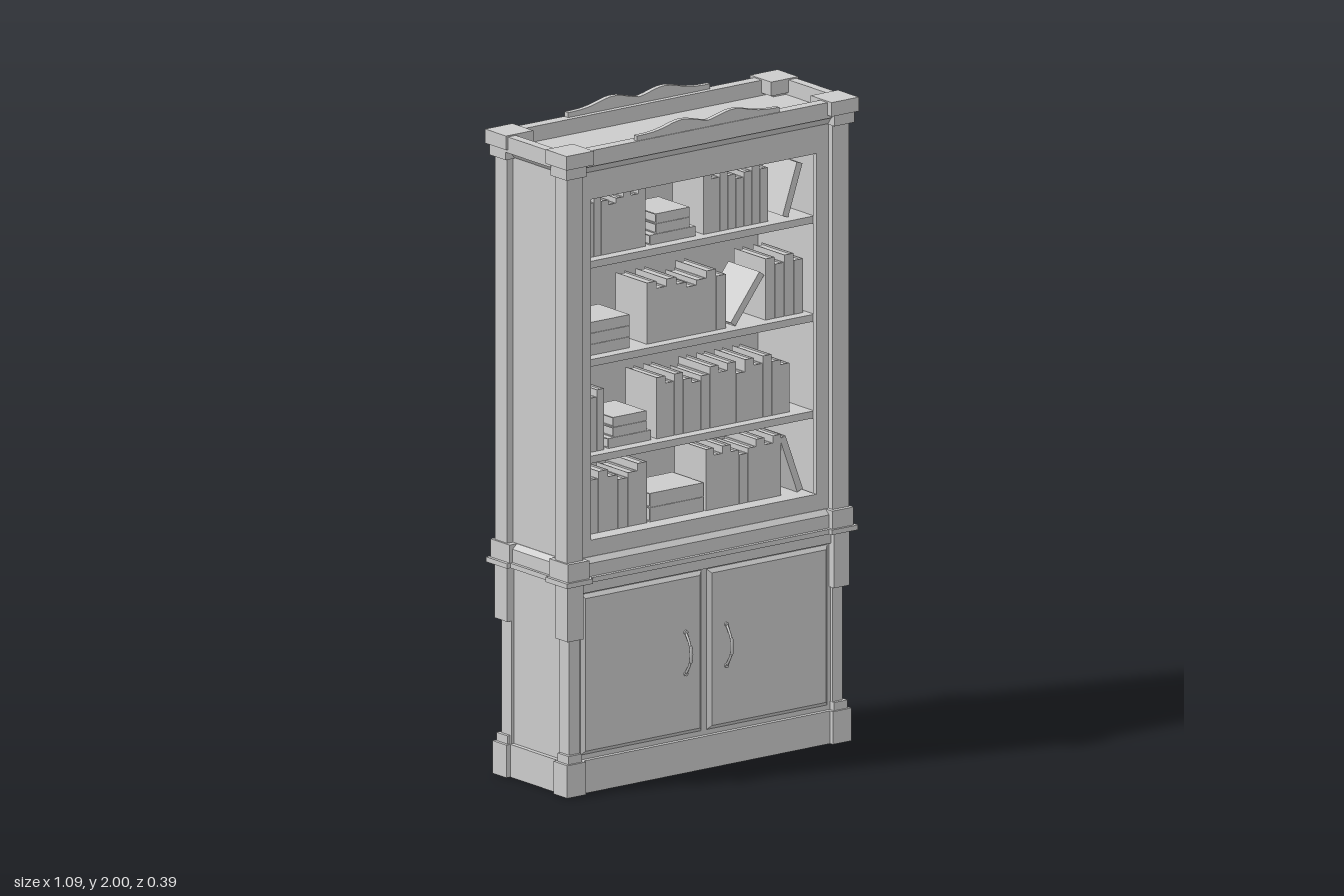
import * as THREE from 'three';

const material = new THREE.MeshStandardMaterial({ color: 0xcccccc });

function add(parent, name, geometry) {
  const mesh = new THREE.Mesh(geometry, material);
  mesh.name = name;
  parent.add(mesh);
  return mesh;
}

// Box given by its limits on each axis
function box(parent, name, x0, x1, y0, y1, z0, z1) {
  const mesh = add(parent, name, new THREE.BoxGeometry(x1 - x0, y1 - y0, z1 - z0));
  mesh.position.set((x0 + x1) / 2, (y0 + y1) / 2, (z0 + z1) / 2);
}

// The same box on all four corners of the cabinet
function corners(parent, name, x0, x1, y0, y1, z0, z1) {
  for (const s of [-1, 1]) for (const t of [-1, 1]) {
    box(parent, name, s > 0 ? x0 : -x1, s > 0 ? x1 : -x0, y0, y1, t > 0 ? z0 : -z1, t > 0 ? z1 : -z0);
  }
}

// Rectangular frustum, used for sloped mouldings and bevelled doors
function frustum(parent, name, w0, d0, w1, d1, h) {
  const g = new THREE.BoxGeometry(1, h, 1).toNonIndexed();
  const p = g.attributes.position;
  for (let i = 0; i < p.count; i++) {
    const top = p.getY(i) > 0;
    p.setX(i, p.getX(i) * (top ? w1 : w0));
    p.setZ(i, p.getZ(i) * (top ? d1 : d0));
  }
  g.computeVertexNormals();
  return add(parent, name, g);
}

// A book with a wrapped cover and an inset page block, spine towards +z
function book(parent, w, h) {
  const g = new THREE.Group();
  g.name = 'book';
  const c = 0.003, d = 0.15;
  box(g, 'leftBoard', -w / 2, -w / 2 + c, 0, h, -d / 2, d / 2);
  box(g, 'rightBoard', w / 2 - c, w / 2, 0, h, -d / 2, d / 2);
  box(g, 'spine', -w / 2 + c, w / 2 - c, 0, h, d / 2 - c, d / 2);
  box(g, 'pages', -w / 2 + c, w / 2 - c, 0.003, h - 0.005, -d / 2 + 0.005, d / 2 - c);
  parent.add(g);
  return g;
}

const bookZ = 0.025;

// Upright books from x0 to x1; the height alternates between common formats
function bookRow(parent, y, x0, x1, count) {
  const w = (x1 - x0) / count;
  for (let i = 0; i < count; i++) {
    const h = i % 5 === 4 ? 0.15 : i % 2 ? 0.165 : 0.187;
    book(parent, w - 0.001, h).position.set(x0 + w * (i + 0.5), y, bookZ);
  }
}

// Lying books, the upper ones shorter by the inset at both ends
function bookStack(parent, y, x0, x1, count, thick, inset) {
  for (let i = 0; i < count; i++) {
    const e = i ? inset : 0;
    const b = book(parent, thick - 0.001, x1 - x0 - 2 * e);
    b.rotation.z = -Math.PI / 2;
    b.position.set(x0 + e, y + (i + 0.5) * thick, bookZ);
  }
}

// A book leaning over by the given angle
function leaningBook(parent, y, x, tilt, length) {
  const w = 0.022;
  const b = book(parent, w, length);
  b.rotation.z = tilt;
  b.position.set(x, y + Math.abs(Math.sin(tilt)) * w / 2, bookZ);
}

function books(parent) {
  // Top shelf
  bookRow(parent, 1.61, -0.425, -0.175, 9);
  bookStack(parent, 1.61, -0.16, 0.01, 3, 0.031, 0.022);
  bookRow(parent, 1.61, 0.04, 0.28, 8);
  leaningBook(parent, 1.61, 0.345, -0.33, 0.165);
  // Third shelf
  bookStack(parent, 1.31, -0.415, -0.235, 3, 0.034, 0);
  bookRow(parent, 1.31, -0.172, 0.125, 8);
  leaningBook(parent, 1.31, 0.15, -0.66, 0.175);
  bookRow(parent, 1.31, 0.27, 0.412, 4);
  // Second shelf
  bookRow(parent, 1.015, -0.415, -0.33, 3);
  bookStack(parent, 1.015, -0.315, -0.155, 3, 0.031, 0.018);
  bookRow(parent, 1.015, -0.135, 0.36, 15);
  // Bottom of the case
  bookRow(parent, 0.765, -0.425, -0.17, 7);
  bookStack(parent, 0.765, -0.16, 0.04, 2, 0.044, 0);
  bookRow(parent, 0.765, 0.048, 0.33, 9);
  leaningBook(parent, 0.765, 0.4, 0.36, 0.185);
}

// Door with a bevelled rim and a curved spindle handle
function door(parent, s) {
  const g = new THREE.Group();
  g.name = s > 0 ? 'leftDoor' : 'rightDoor';
  const slab = frustum(g, 'doorSlab', 0.45, 0.49, 0.426, 0.466, 0.01);
  slab.rotation.x = Math.PI / 2;
  slab.position.set(s * 0.235, 0.36, 0.158);
  const x = s * 0.076;
  const path = new THREE.QuadraticBezierCurve3(
    new THREE.Vector3(x, 0.302, 0.163), new THREE.Vector3(x, 0.365, 0.217), new THREE.Vector3(x, 0.428, 0.163));
  add(g, 'handle', new THREE.TubeGeometry(path, 20, 0.004, 8));
  const grip = add(g, 'handleGrip', new THREE.SphereGeometry(1, 12, 8));
  grip.scale.set(0.007, 0.03, 0.005);
  grip.position.set(x, 0.365, 0.19);
  for (const y of [0.302, 0.428]) {
    const rose = add(g, 'handleRose', new THREE.CylinderGeometry(0.007, 0.007, 0.006, 12));
    rose.rotation.x = Math.PI / 2;
    rose.position.set(x, y, 0.165);
  }
  parent.add(g);
}

// Wavy crest standing on the cornice, with two humps and a dip between
function crest(parent, z) {
  const shape = new THREE.Shape();
  shape.moveTo(-0.265, 1.96);
  for (let i = 0; i <= 48; i++) {
    const x = -0.265 + 0.53 * i / 48;
    const y = 1.977 + 0.023 * Math.exp(-(((Math.abs(x) - 0.095) / 0.075) ** 2));
    shape.lineTo(x, y);
  }
  shape.lineTo(0.265, 1.96);
  add(parent, 'crest', new THREE.ExtrudeGeometry(shape, { depth: 0.016, bevelEnabled: false }))
    .position.z = z - 0.008;
}

export function createModel() {
  const model = new THREE.Group();
  model.name = 'bookcase';

  // Base plinth and lower cabinet
  box(model, 'plinth', -0.515, 0.515, 0, 0.1, -0.167, 0.167);
  corners(model, 'plinthBlock', 0.46, 0.53, 0, 0.1, 0.113, 0.18);
  corners(model, 'plinthStep', 0.47, 0.52, 0.1, 0.125, 0.12, 0.173);
  box(model, 'lowerCabinet', -0.5, 0.5, 0.1, 0.645, -0.16, 0.153);
  corners(model, 'lowerPost', 0.472, 0.51, 0.1, 0.645, 0.115, 0.163);
  corners(model, 'bracket', 0.467, 0.525, 0.475, 0.645, 0.115, 0.176);
  box(model, 'doorRail', -0.467, 0.467, 0.61, 0.645, 0.15, 0.163);
  for (const s of [-1, 1]) door(model, s);

  // Waist moulding
  box(model, 'waistLedge', -0.53, 0.53, 0.645, 0.66, -0.182, 0.182);
  corners(model, 'waistLedgeCorner', 0.445, 0.543, 0.645, 0.66, 0.093, 0.195);
  box(model, 'waistBand', -0.52, 0.52, 0.66, 0.7, -0.17, 0.17);
  frustum(model, 'waistSlope', 1.04, 0.34, 1.01, 0.31, 0.015).position.y = 0.7075;
  corners(model, 'waistBlock', 0.453, 0.532, 0.66, 0.715, 0.095, 0.187);

  // Upper case: sides, back, corner pilasters and face frame
  for (const s of [-1, 1]) {
    box(model, 'sidePanel', s > 0 ? 0.425 : -0.503, s > 0 ? 0.503 : -0.425, 0.7, 1.9, -0.155, 0.145);
    box(model, 'frameStile', s > 0 ? 0.42 : -0.468, s > 0 ? 0.468 : -0.42, 0.71, 1.9, 0.135, 0.153);
  }
  corners(model, 'pilaster', 0.465, 0.525, 0.71, 1.9, 0.115, 0.173);
  box(model, 'backPanel', -0.47, 0.47, 0.7, 1.9, -0.158, -0.135);
  box(model, 'bottomRail', -0.42, 0.42, 0.7, 0.765, -0.135, 0.153);
  box(model, 'topRail', -0.42, 0.42, 1.805, 1.9, -0.135, 0.153);

  // Shelves and books
  for (const y of [1.015, 1.31, 1.61]) box(model, 'shelf', -0.425, 0.425, y - 0.022, y, -0.135, 0.135);
  books(model);

  // Cornice: sloped cove, open rails around a sunken top, corner caps
  frustum(model, 'cove', 1.006, 0.31, 1.05, 0.345, 0.025).position.y = 1.9025;
  for (const s of [-1, 1]) {
    const z = s * 0.159, x = s * 0.523;
    box(model, 'corniceRail', -0.46, 0.46, 1.913, 1.962, z - 0.018, z + 0.018);
    box(model, 'corniceSideRail', x - 0.015, x + 0.015, 1.913, 1.962, -0.11, 0.11);
    crest(model, s * 0.166);
  }
  corners(model, 'capital', 0.462, 0.536, 1.888, 1.925, 0.108, 0.185);
  corners(model, 'cornerCap', 0.443, 0.545, 1.923, 1.966, 0.095, 0.196);

  return model;
}
